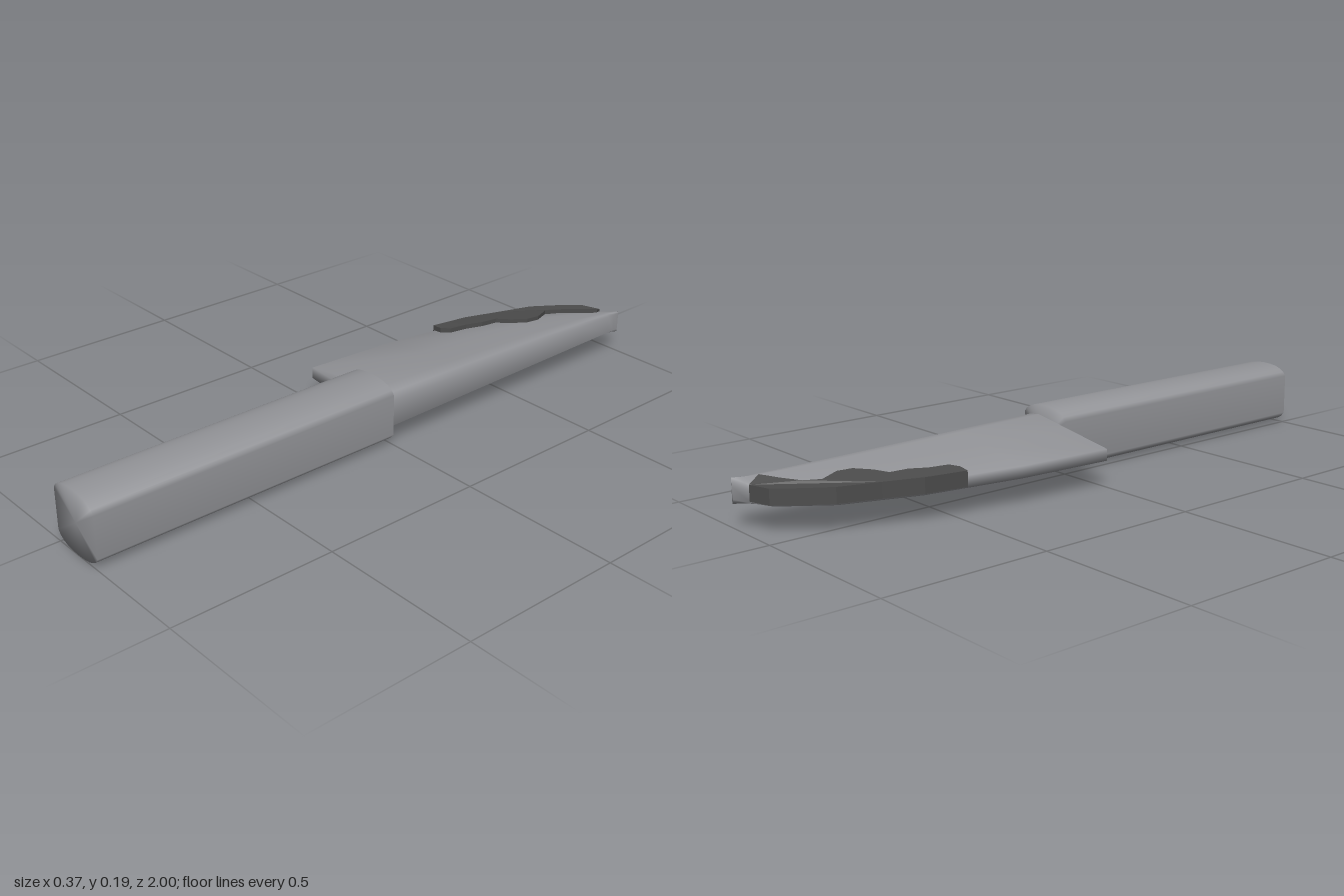
import * as THREE from 'three';

const SPINE = 0.185;
// cutting edge as [z, x] stations from heel to tip
const EDGE = [[0, -0.185], [-0.3, -0.166], [-0.6, -0.118], [-0.82, -0.042], [-0.95, 0.055], [-0.98, 0.12], [-1, 0.18]];
// blade thickness across its width: [fraction from edge to spine, share of full thickness]
const HALF = [[0, 0], [0.45, 0.55], [0.82, 1], [0.93, 0.85], [1, 0.55]];

// piecewise linear lookup in a list of [key, value] pairs
function lookup(list, key) {
  const dir = Math.sign(list[1][0] - list[0][0]);
  for (let i = 1; i < list.length; i++) {
    const [k0, v0] = list[i - 1], [k1, v1] = list[i];
    if (dir * key <= dir * k1 || i === list.length - 1) {
      return THREE.MathUtils.lerp(v0, v1, THREE.MathUtils.clamp((key - k0) / (k1 - k0), 0, 1));
    }
  }
}

// smooth closed loft through rings (counter-clockwise seen from +z), front to back
function loft(rings) {
  const n = rings[0].length, pos = rings.flat(2), index = [];
  const mean = r => [0, 1, 2].map(k => r.reduce((s, p) => s + p[k], 0) / n);
  const last = rings.length - 1, front = rings.length * n;
  pos.push(...mean(rings[0]), ...mean(rings[last]));
  for (let i = 0; i < n; i++) {
    const j = (i + 1) % n;
    for (let s = 0; s < last; s++) {
      const a = s * n + i, b = s * n + j;
      index.push(a, a + n, b, b, a + n, b + n);
    }
    index.push(front, i, j, front + 1, last * n + j, last * n + i);
  }
  const g = new THREE.BufferGeometry();
  g.setAttribute('position', new THREE.Float32BufferAttribute(pos, 3));
  g.setIndex(index);
  g.computeVertexNormals();
  return g;
}

// half thickness and middle height of the blade at width fraction t
function bladeAt(t, z) {
  const full = 0.06 + 0.024 * z;
  return { half: THREE.MathUtils.lerp(0.0175, full, lookup(HALF, t)), mid: 0.0975 + 0.0075 * t };
}

function bladeRing([z, edgeX]) {
  const point = (t, side) => {
    const { half, mid } = bladeAt(t, z);
    return [THREE.MathUtils.lerp(edgeX, SPINE, t), mid + side * half, z];
  };
  const ts = HALF.map(h => h[0]);
  return [...ts.map(t => point(t, -1)), ...ts.reverse().map(t => point(t, 1))];
}

// rounded-top-and-bottom handle section
function handleRing(z) {
  const quarter = [[0.095, 0.064], [0.085, 0.077], [0.07, 0.086], [0.05, 0.093], [0.025, 0.0965]];
  const right = [...quarter, [0, 0.0975]];
  const top = [...right, ...quarter.slice().reverse().map(([x, y]) => [-x, y])];
  return [...top, ...top.map(([x, y]) => [-x, -y])].map(([x, y]) => [0.09 + x, 0.0975 + y, z]);
}

// ragged stain wrapped over the cutting edge near the tip
function stainGeometry() {
  const outline = [
    [-0.146, -0.475], [-0.136, -0.53], [-0.124, -0.6], [-0.085, -0.71], [-0.046, -0.825], [0.005, -0.9],
    [0.055, -0.963], [0.12, -0.984], [0.142, -0.942], [0.09, -0.905], [0.045, -0.87], [0.02, -0.825],
    [0.045, -0.765], [0.038, -0.72], [0.0, -0.68], [-0.04, -0.655], [-0.048, -0.6], [-0.07, -0.55],
    [-0.082, -0.49], [-0.11, -0.472],
  ];
  const shape = new THREE.Shape(outline.map(([x, z]) => new THREE.Vector2(x, -z)));
  const g = new THREE.ExtrudeGeometry(shape, { depth: 1, bevelEnabled: false });
  g.rotateX(-Math.PI / 2);
  const p = g.attributes.position;
  for (let i = 0; i < p.count; i++) {
    const x = p.getX(i), z = p.getZ(i), edgeX = lookup(EDGE, z);
    const t = THREE.MathUtils.clamp((x - edgeX) / (SPINE - edgeX), 0, 1);
    const { half, mid } = bladeAt(t, z);
    p.setY(i, p.getY(i) > 0.5 ? mid + half + 0.016 - 0.008 * t : 0.085);
  }
  g.computeVertexNormals();
  return g;
}

export function createModel() {
  const steel = new THREE.MeshStandardMaterial({ color: 0x939498 });
  steel.name = 'steel grey';
  const dark = new THREE.MeshStandardMaterial({ color: 0x4c4c4c });
  dark.name = 'dark grey';

  const group = new THREE.Group();
  group.name = 'knife';
  const add = (name, geometry, material) => {
    const mesh = new THREE.Mesh(geometry, material);
    mesh.name = name;
    group.add(mesh);
  };
  add('handle', loft([handleRing(1), handleRing(0)]), steel);
  add('blade', loft(EDGE.map(bladeRing)), steel);
  add('stain', stainGeometry(), dark);
  return group;
}
